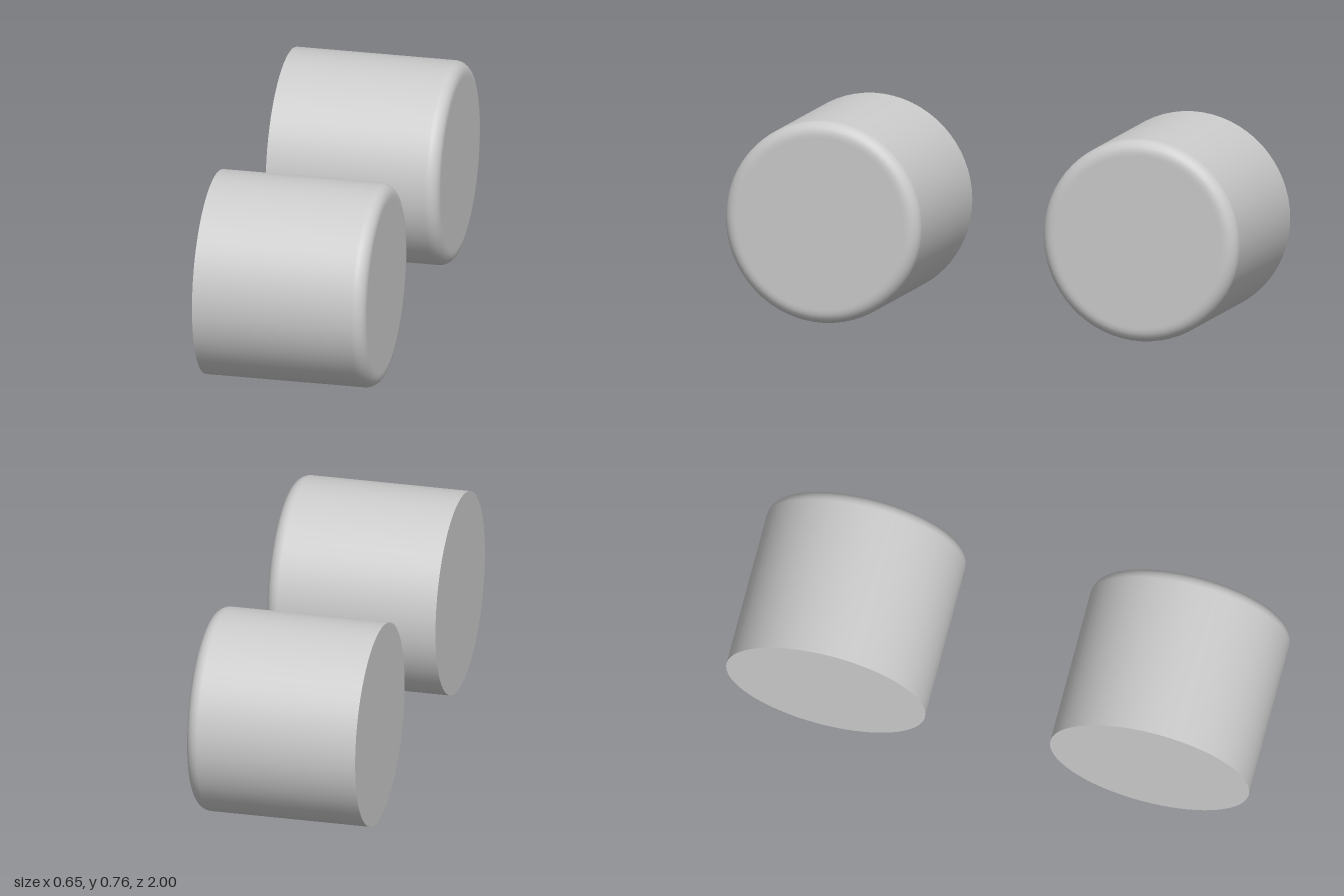
import * as THREE from 'three';

const RADIUS = 0.381, HALF = 0.326, FILLET = 0.048, SIDES = 64;

export function createModel() {
  const group = new THREE.Group();
  const material = new THREE.MeshStandardMaterial({ color: 0xcccccc });

  // Profile: straight side, rounded rim, flat end on the axis
  const profile = [new THREE.Vector2(RADIUS, -HALF), new THREE.Vector2(RADIUS, -0.2)];
  const steps = 6;
  for (let i = 0; i <= steps; i++) {
    const a = (i / steps) * Math.PI / 2;
    profile.push(new THREE.Vector2(
      RADIUS - FILLET + FILLET * Math.cos(a),
      HALF - FILLET + FILLET * Math.sin(a)
    ));
  }
  profile.push(new THREE.Vector2(RADIUS - FILLET - 0.01, HALF), new THREE.Vector2(0, HALF));

  // Lay the axis along x, rounded end towards +x
  const bodyGeometry = new THREE.LatheGeometry(profile, SIDES).rotateZ(-Math.PI / 2);
  // Flat, sharp-edged end facing -x
  const endGeometry = new THREE.CircleGeometry(RADIUS, SIDES).rotateY(-Math.PI / 2);

  for (const [name, side] of [['frontCylinder', 1], ['backCylinder', -1]]) {
    const cylinder = new THREE.Group();
    cylinder.name = name;
    const body = new THREE.Mesh(bodyGeometry, material);
    body.name = 'roundedBody';
    const end = new THREE.Mesh(endGeometry, material);
    end.name = 'flatEnd';
    end.position.x = -HALF;
    cylinder.add(body, end);
    cylinder.position.set(0, RADIUS, side * (1 - RADIUS));
    group.add(cylinder);
  }
  return group;
}
